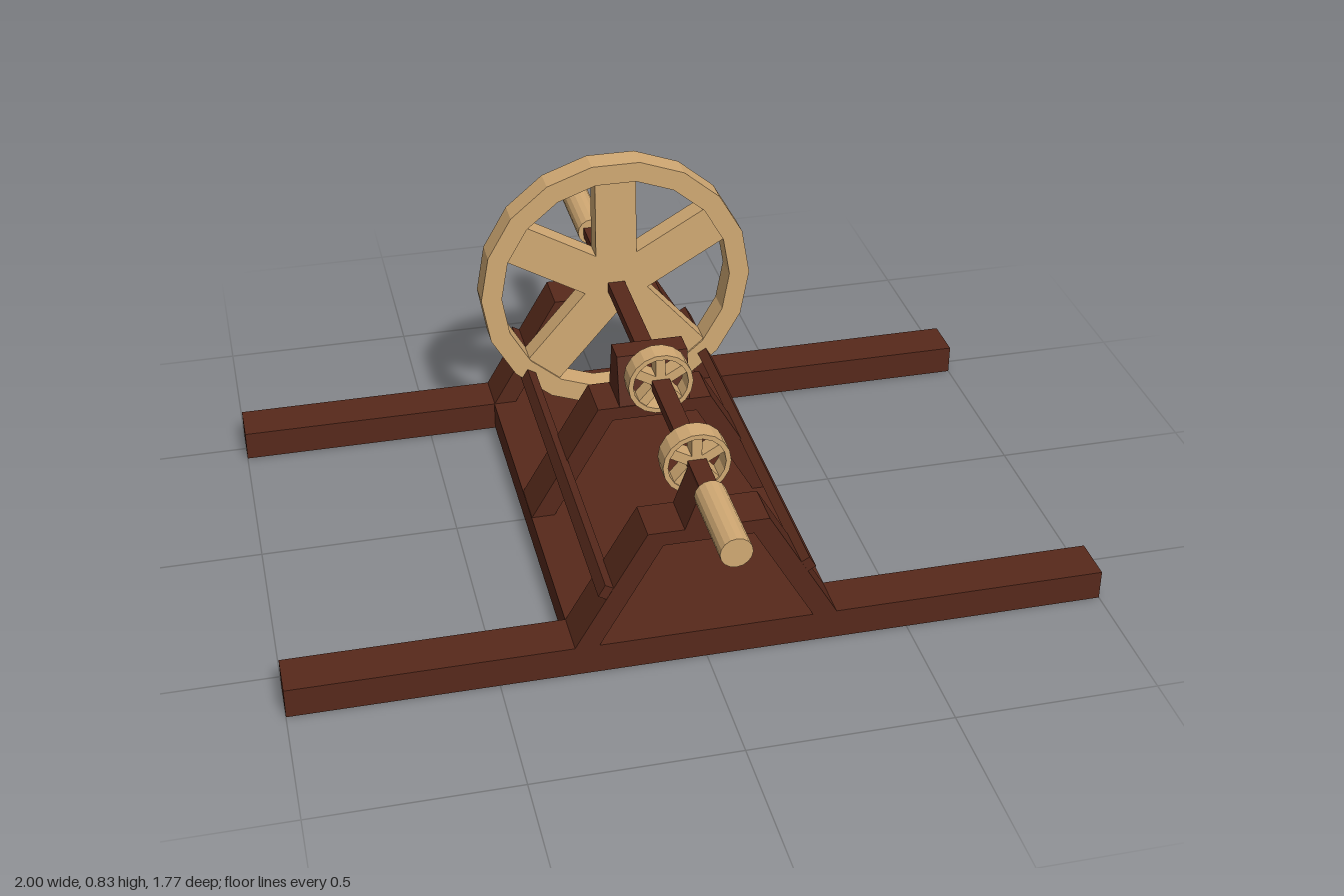
import * as THREE from 'three';

const dark = new THREE.MeshStandardMaterial({ color: 0x57291b, flatShading: true });
const light = new THREE.MeshStandardMaterial({ color: 0xd2aa74, flatShading: true });
const AXLE_Y = 0.468;

export function createModel() {
  const model = new THREE.Group();

  const add = (name, geometry, material, x = 0, y = 0, z = 0, parent = model) => {
    const mesh = new THREE.Mesh(geometry, material);
    mesh.name = name;
    mesh.position.set(x, y, z);
    parent.add(mesh);
    return mesh;
  };
  const box = (name, w, h, d, x, y, z) => add(name, new THREE.BoxGeometry(w, h, d), dark, x, y, z);
  const polygon = (points) => new THREE.Shape(points.map(([x, y]) => new THREE.Vector2(x, y)));
  const extrude = (shape, depth) =>
    new THREE.ExtrudeGeometry(shape, { depth, bevelEnabled: false }).translate(0, 0, -depth / 2);

  // Base: two long cross beams joined by a solid deck
  box('frontBeam', 2, 0.077, 0.115, 0, 0.0385, 0.5925);
  box('backBeam', 2, 0.077, 0.115, 0, 0.0385, -0.5075);
  box('deck', 0.642, 0.077, 0.985, 0, 0.0385, 0.0425);

  // Three trestles with sloping legs and a flat head
  const trestle = polygon([
    [-0.321, 0.075], [-0.262, 0.075], [-0.108, 0.34], [0.108, 0.34],
    [0.262, 0.075], [0.321, 0.075], [0.145, 0.376], [-0.145, 0.376],
  ]);
  const frames = [['front', 0.5925, 0.115], ['middle', 0.0435, 0.123], ['back', -0.5075, 0.115]];
  for (const [name, z, depth] of frames) add(name + 'Trestle', extrude(trestle, depth), dark, 0, 0, z);

  // Wedge bearings on the end trestles
  const wedge = polygon([[-0.06, 0.37], [0.06, 0.37], [0.02, 0.478], [-0.02, 0.478]]);
  for (const [name, z] of [frames[0], frames[2]]) add(name + 'Bearing', extrude(wedge, 0.115), dark, 0, 0, z);

  // Middle bearing block, tapering front to back
  const block = polygon([[-0.061, 0.37], [0.061, 0.37], [0.032, 0.505], [-0.032, 0.505]]);
  add('middleBearing', extrude(block, 0.18).rotateY(Math.PI / 2), dark, 0, 0, 0.0435);

  // Side rails lying against the sloping legs
  for (const side of [-1, 1]) {
    const rail = box('sideRail', 0.026, 0.034, 1.213, side * 0.243, 0.227, 0.0425);
    rail.rotation.z = side * 0.53;
  }

  // Axle with a round handle at each end
  box('axle', 0.045, 0.028, 1.36, 0, AXLE_Y, 0);
  for (const side of [-1, 1]) {
    const handle = new THREE.CylinderGeometry(0.038, 0.038, 0.232, 16).rotateX(Math.PI / 2);
    add('handle', handle, light, 0, AXLE_Y, side * 0.769);
  }

  // Spoked wheels: an 18-sided rim and five spokes
  const ring = (radius) => Array.from({ length: 18 }, (_, i) => {
    const a = (i / 18) * Math.PI * 2;
    return [radius * Math.cos(a), radius * Math.sin(a)];
  });
  const addWheel = (name, radius, depth, z) => {
    const wheel = new THREE.Group();
    wheel.name = name;
    wheel.position.set(0, AXLE_Y + 0.003, z);
    const rim = polygon(ring(radius));
    rim.holes.push(new THREE.Path(polygon(ring(radius * 0.85)).getPoints()));
    add('rim', extrude(rim, depth), light, 0, 0, 0, wheel);
    for (const degrees of [90, 30, 150, 229, 311]) {
      const length = radius * 0.88;
      const spoke = new THREE.BoxGeometry(length, radius * 0.3, depth * 0.85).translate(length / 2, 0, 0);
      add('spoke', spoke, light, 0, 0, 0, wheel).rotation.z = THREE.MathUtils.degToRad(degrees);
    }
    model.add(wheel);
  };
  addWheel('largeWheel', 0.362, 0.07, -0.367);
  addWheel('middlePulley', 0.082, 0.054, 0.144);
  addWheel('frontPulley', 0.082, 0.054, 0.506);

  return model;
}
